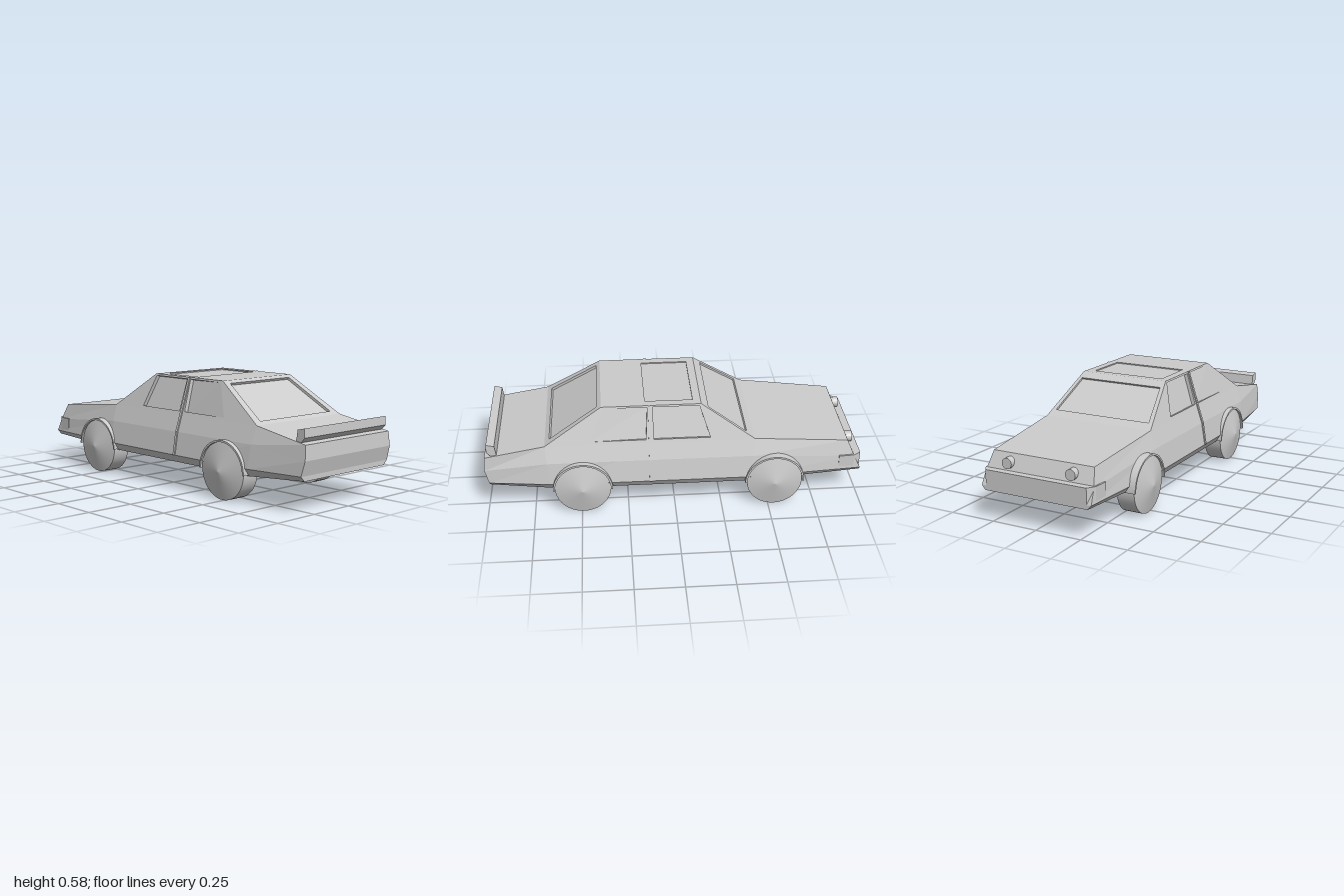
import * as THREE from 'three';

const paint = new THREE.MeshStandardMaterial({ color: 0xcccccc, flatShading: true });
const smooth = new THREE.MeshStandardMaterial({ color: 0xcccccc });

export function createModel() {
  const car = new THREE.Group();
  car.name = 'car';

  const add = (name, geometry, material = paint) => {
    const mesh = new THREE.Mesh(geometry, material);
    mesh.name = name;
    car.add(mesh);
    return mesh;
  };

  // Flat-faced geometry from quads whose corners run counter-clockwise
  const fromQuads = (quads) => {
    const pos = quads.flatMap(([a, b, c, d]) => [a, b, c, a, c, d]).flat();
    const g = new THREE.BufferGeometry();
    g.setAttribute('position', new THREE.Float32BufferAttribute(pos, 3));
    g.computeVertexNormals();
    return g;
  };

  // Lower body: half sections, floor to belt, from the +z end to the -z end
  const stations = [
    [[0.3, 0.16, 0.98], [0.325, 0.185, 0.98], [0.32, 0.26, 1], [0.312, 0.335, 0.995]],
    [[0.33, 0.14, 0.64], [0.355, 0.18, 0.66], [0.34, 0.3, 0.67], [0.31, 0.39, 0.68]],
    [[0.335, 0.14, 0.3], [0.36, 0.18, 0.3], [0.34, 0.3, 0.3], [0.31, 0.39, 0.3]],
    [[0.335, 0.14, -0.4], [0.36, 0.18, -0.4], [0.34, 0.3, -0.41], [0.31, 0.39, -0.42]],
    [[0.29, 0.155, -1], [0.31, 0.178, -1], [0.305, 0.25, -0.965], [0.285, 0.34, -0.925]],
  ];
  const rings = stations.map((half) => [
    ...half,
    ...half.map(([x, y, z]) => [-x, y, z]).reverse(),
  ]);
  const bodyQuads = [];
  for (let s = 0; s < rings.length - 1; s++) {
    for (let i = 0; i < 8; i++) {
      const j = (i + 1) % 8;
      bodyQuads.push([rings[s][i], rings[s + 1][i], rings[s + 1][j], rings[s][j]]);
    }
  }
  const first = rings[0], last = rings[rings.length - 1];
  for (let i = 0; i < 3; i++) {
    bodyQuads.push([first[i], first[i + 1], first[6 - i], first[7 - i]]);
    bodyQuads.push([last[7 - i], last[6 - i], last[i + 1], last[i]]);
  }
  add('lowerBody', fromQuads(bodyQuads));

  // Cabin panel with a recessed pane; hole corners are fractions of the panel
  const panel = (name, corners, hole, depths, mirror = false) => {
    const [a, b, c, d] = corners.map((p) => new THREE.Vector3(...p));
    const normal = b.clone().sub(a).cross(d.clone().sub(a)).normalize();
    const inner = hole.map(([u, v]) => a.clone().lerp(b, u).lerp(d.clone().lerp(c, u), v));
    const sunk = inner.map((p, k) => p.clone().addScaledVector(normal, -depths[k]));
    const [o, h, g] = [[a, b, c, d], inner, sunk].map((list) => {
      const pts = list.map((p) => [mirror ? -p.x : p.x, p.y, p.z]);
      return mirror ? pts.reverse() : pts;
    });
    const frame = [];
    for (let k = 0; k < 4; k++) {
      const n = (k + 1) % 4;
      frame.push([o[k], o[n], h[n], h[k]], [h[k], h[n], g[n], g[k]]);
    }
    add(name + 'Frame', fromQuads(frame));
    add(name + 'Pane', fromQuads([g]));
  };
  const rect = (u0, u1, v0, v1) => [[u0, v0], [u1, v0], [u1, v1], [u0, v1]];
  const even = (t) => [t, t, t, t];
  const bx = 0.31, by = 0.39, rx = 0.25, ry = 0.58;

  panel('frontWindow',
    [[-bx, by, 0.68], [bx, by, 0.68], [rx, ry, 0.38], [-rx, ry, 0.38]],
    rect(0.07, 0.93, 0.08, 0.93), even(0.014));
  panel('backWindow',
    [[bx, by, -0.42], [-bx, by, -0.42], [-rx, ry, -0.14], [rx, ry, -0.14]],
    rect(0.04, 0.96, 0.14, 0.86), even(0.01));
  panel('sunroof',
    [[-rx, ry, 0.38], [rx, ry, 0.38], [rx, ry, -0.14], [-rx, ry, -0.14]],
    rect(0.09, 0.91, 0.44, 0.92), even(0.006));

  // Door pillar line, following the side from sill to roof
  const seam = [[0.36, 0.18], [0.34, 0.3], [bx, by], [rx, ry]];

  for (const side of [1, -1]) {
    const label = side > 0 ? 'left' : 'right';
    panel(label + 'FrontSideWindow',
      [[bx, by, 0.68], [bx, by, 0.13], [rx, ry, 0.13], [rx, ry, 0.38]],
      [[0.4, 0.08], [0.96, 0.08], [0.96, 0.95], [0.1, 0.95]],
      [0, 0.022, 0.022, 0], side < 0);
    panel(label + 'BackSideWindow',
      [[bx, by, 0.13], [bx, by, -0.42], [rx, ry, -0.14], [rx, ry, 0.13]],
      [[0.04, 0.08], [0.6, 0.08], [0.92, 0.95], [0.06, 0.95]],
      even(0.02), side < 0);

    for (let k = 0; k < 3; k++) {
      const [x0, y0] = seam[k], [x1, y1] = seam[k + 1];
      const bar = add(label + 'DoorPillar',
        new THREE.BoxGeometry(0.012, Math.hypot(x1 - x0, y1 - y0), 0.014));
      bar.position.set(side * (x0 + x1) / 2, (y0 + y1) / 2, 0.13);
      bar.rotation.z = side * Math.atan2(x0 - x1, y1 - y0);
    }

    for (const [end, z] of [['Front', 0.49], ['Back', -0.53]]) {
      // Wheel: smooth tread with a shallow cone on its outer face
      const tread = new THREE.CylinderGeometry(0.147, 0.147, 0.097, 48);
      const wheel = add(label + end + 'Wheel', tread, smooth);
      wheel.position.set(side * 0.308, 0.147, z);
      wheel.rotation.z = -side * Math.PI / 2;
      const cap = add(label + end + 'WheelCone',
        new THREE.ConeGeometry(0.147, 0.034, 48, 1, true), smooth);
      cap.position.set(side * 0.3735, 0.147, z);
      cap.rotation.z = -side * Math.PI / 2;

      // Arch flare over the wheel
      const arch = new THREE.Shape();
      arch.absarc(0, 0, 0.158, 0, Math.PI, false);
      arch.absarc(0, 0, 0.148, Math.PI, 0, true);
      const flare = add(label + end + 'WheelArch', new THREE.ExtrudeGeometry(arch,
        { depth: 0.06, bevelEnabled: false, curveSegments: 20 }));
      flare.rotation.y = Math.PI / 2;
      flare.position.set(side > 0 ? 0.308 : -0.368, 0.145, z);
    }

    // Round lamp on the -z end
    const lamp = add(label + 'Lamp', new THREE.CylinderGeometry(0.028, 0.028, 0.06, 24));
    lamp.rotation.x = Math.PI / 2;
    lamp.position.set(side * 0.18, 0.297, -0.94);
  }

  // Wrap-around bumper on the -z end, drawn in plan
  const plan = new THREE.Shape([[-0.318, 0.88], [0.318, 0.88], [0.312, 0.96], [0.285, 1],
    [-0.285, 1], [-0.312, 0.96]].map((p) => new THREE.Vector2(...p)));
  const bumper = add('bumper',
    new THREE.ExtrudeGeometry(plan, { depth: 0.083, bevelEnabled: false }));
  bumper.rotation.x = -Math.PI / 2;
  bumper.position.y = 0.177;

  // Spoiler blade on the +z deck
  const blade = new THREE.Shape([[-0.982, 0.365], [-0.955, 0.335], [-0.93, 0.345],
    [-0.938, 0.4], [-0.98, 0.41]].map((p) => new THREE.Vector2(...p)));
  const spoiler = add('spoiler',
    new THREE.ExtrudeGeometry(blade, { depth: 0.61, bevelEnabled: false }));
  spoiler.rotation.y = Math.PI / 2;
  spoiler.position.x = -0.305;

  return car;
}
